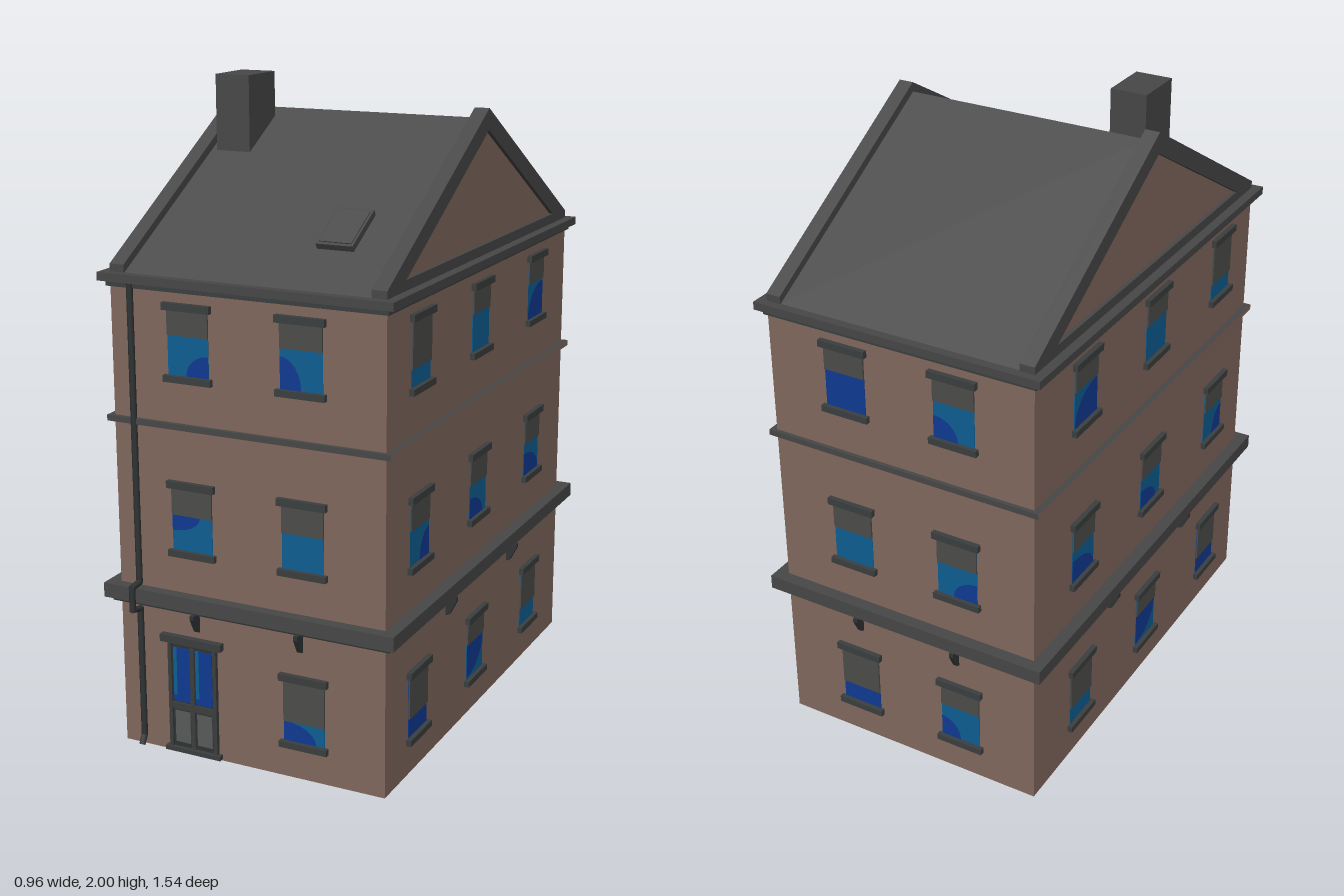
import * as THREE from 'three';

const mat = (name, color, side = THREE.FrontSide) => {
  const m = new THREE.MeshStandardMaterial({ color, side });
  m.name = name;
  return m;
};

export function createModel() {
  const brick = mat('brick', 0x82695f);
  const stone = mat('darkStone', 0x484848);
  const slate = mat('roofSlate', 0x4b4b4b);
  const trim = mat('windowTrim', 0x3c3f3f);
  const blindGrey = mat('blindGrey', 0x4d4d4b);
  const glassLight = mat('glassLight', 0x0e5f94);
  const glassDark = mat('glassDark', 0x103a94);
  const iron = mat('iron', 0x303434);
  const panelGrey = mat('doorPanel', 0x595b5b);

  const model = new THREE.Group();
  model.name = 'townHouse';
  const ZC = -0.01, HX = 0.44, HZ = 0.72;

  const add = (parent, name, geometry, material, x = 0, y = 0, z = 0) => {
    const m = new THREE.Mesh(geometry, material);
    m.name = name;
    m.position.set(x, y, z);
    parent.add(m);
    return m;
  };
  // Box given by its width, its bottom and top, and its depth
  const slab = (parent, name, material, x, y0, y1, z, w, d) =>
    add(parent, name, new THREE.BoxGeometry(w, y1 - y0, d), material, x, (y0 + y1) / 2, z);
  // Profile of [z, y] points extruded along x, centred on x
  const prism = (name, points, width, x, material, hole) => {
    const toPts = (a) => a.map(([z, y]) => new THREE.Vector2(z, y));
    const shape = new THREE.Shape(toPts(points));
    if (hole) shape.holes.push(new THREE.Path(toPts(hole)));
    const g = new THREE.ExtrudeGeometry(shape, { depth: width, bevelEnabled: false });
    g.translate(0, 0, -width / 2).rotateY(-Math.PI / 2);
    return add(model, name, g, material, x, 0, ZC);
  };

  // Walls and the horizontal mouldings
  slab(model, 'walls', brick, 0, 0, 1.45, ZC, HX * 2, HZ * 2);
  slab(model, 'shopLedge', stone, 0, 0.478, 0.523, -0.012, 0.96, 1.515);
  slab(model, 'shopLedgeMoulding', iron, 0, 0.465, 0.478, ZC, 0.92, 1.475);
  slab(model, 'middleBand', [brick, brick, stone, stone, stone, stone], 0, 1.03, 1.048, ZC, 0.92, 1.466);
  slab(model, 'corniceMoulding', trim, 0, 1.436, 1.452, ZC, 0.9, 1.46);
  slab(model, 'cornice', stone, 0, 1.452, 1.477, ZC, 0.94, 1.49);

  // Roof with a raised frame and a brick panel at each gable
  prism('roof', [[-HZ, 1.475], [HZ, 1.475], [0, 1.885]], 0.8, 0, slate);
  for (const s of [1, -1]) {
    prism('gableFrame', [[-HZ, 1.475], [HZ, 1.475], [HZ, 1.5], [0, 1.915], [-HZ, 1.5]], 0.047, s * 0.4165, stone,
      [[-0.595, 1.508], [0, 1.85], [0.595, 1.508]]);
    prism('gablePanel', [[-0.61, 1.5], [0.61, 1.5], [0, 1.855]], 0.03, s * 0.413, brick);
  }
  slab(model, 'chimney', stone, -0.3175, 1.72, 2, 0.1125, 0.115, 0.165);

  // Skylight lying on the front slope
  const skylight = new THREE.Group();
  skylight.name = 'skylight';
  skylight.position.set(0.207, 1.608, 0.482);
  skylight.rotation.x = Math.atan(0.41 / 0.72);
  model.add(skylight);
  slab(skylight, 'skylightFrame', stone, 0, -0.01, 0.016, 0, 0.115, 0.165);
  slab(skylight, 'skylightPane', slate, 0, 0.016, 0.019, 0, 0.1, 0.145);

  // Window: u across the facade, y of the sill, blind drop and glass pattern
  // Pattern: 0 light, 1 dark, otherwise a dark patch in one corner: [sideX, sideY, width, height]
  const W = 0.134, H = 0.2;
  function addWindow(facade, u, y, drop, pattern) {
    const g = new THREE.Group();
    g.name = 'window';
    g.position.set(u, y, 0);
    facade.add(g);
    slab(g, 'lintel', trim, 0, 0.21, 0.232, 0.006, 0.157, 0.02);
    slab(g, 'sill', trim, 0, -0.002, 0.018, 0.006, 0.157, 0.02);
    slab(g, 'blind', blindGrey, 0, H + 0.012 - drop, H + 0.012, 0.002, W, 0.008);
    slab(g, 'glass', pattern === 1 ? glassDark : glassLight, 0, 0.016, H + 0.012, 0, W, 0.004);
    if (Array.isArray(pattern)) {
      const [sx, sy, w, h] = pattern;
      const top = H + 0.012 - drop;
      const x0 = sx * W / 2, y0 = sy > 0 ? top : 0.018;
      const patch = new THREE.Shape();
      patch.moveTo(x0, y0);
      for (let i = 0; i <= 6; i++) {
        const a = i / 6 * Math.PI / 2;
        patch.lineTo(x0 - sx * w * W * Math.cos(a), y0 - sy * h * (top - 0.018) * Math.sin(a));
      }
      add(g, 'glassReflection', new THREE.ShapeGeometry(patch), glassDark, 0, 0, 0.003);
    }
    return g;
  }

  // Tapered bracket below the ledge
  const bracketShape = new THREE.Shape([[0, 0.405], [0.012, 0.41], [0.035, 0.455], [0.035, 0.468], [0, 0.468]]
    .map(([a, b]) => new THREE.Vector2(a, b)));
  const bracketGeo = new THREE.ExtrudeGeometry(bracketShape, { depth: 0.014, bevelEnabled: false });
  bracketGeo.translate(0, 0, -0.007).rotateY(-Math.PI / 2);

  // One facade: windows by floor as [blind drop, pattern], top floor first
  const floorY = [1.174, 0.64, 0.1];
  function addFacade(name, x, z, turn, us, brackets, floors) {
    const f = new THREE.Group();
    f.name = name;
    f.position.set(x, 0, z);
    f.rotation.y = turn;
    model.add(f);
    floors.forEach((row, r) => row.forEach((w, i) => {
      if (w) addWindow(f, us[i], floorY[r], w[0], w[1]);
    }));
    for (const u of brackets) add(f, 'bracket', bracketGeo, iron, u);
    return f;
  }
  const A = 0.076, B = 0.14;
  const front = addFacade('frontFacade', 0, ZC + HZ, 0, [-0.184, 0.18], [-0.175, 0.17], [
    [[A, [1, -1, 0.55, 0.55]], [A, [-1, -1, 0.5, 0.8]]],
    [[0.085, [-1, 1, 0.7, 0.45]], [0.085, 0]],
    [null, [0.132, [-1, -1, 0.8, 1]]],
  ]);
  addFacade('backFacade', 0, ZC - HZ, Math.PI, [-0.18, 0.184], [-0.17, 0.175], [
    [[A, 1], [A, [-1, -1, 0.6, 0.6]]],
    [[0.085, 0], [0.085, [1, -1, 0.6, 0.6]]],
    [[0.132, 1], [A, [-1, -1, 0.5, 0.6]]],
  ]);
  const sideRows = [
    [[B, 0], [A, 0], [A, [1, -1, 1, 0.95]]],
    [[0.085, [1, -1, 0.5, 0.8]], [0.085, [-1, -1, 0.8, 0.6]], [0.085, [-1, -1, 1, 0.7]]],
    [[0.132, 1], [A, [-1, 1, 1, 0.95]], [0.132, 0]],
  ];
  addFacade('rightFacade', HX, ZC, Math.PI / 2, [-0.492, -0.04, 0.438], [-0.275, 0.24], sideRows);
  addFacade('leftFacade', -HX, ZC, -Math.PI / 2, [-0.428, 0.025, 0.497], [-0.24, 0.275],
    sideRows.map((r) => [...r].reverse()));

  // Double door
  const door = new THREE.Group();
  door.name = 'door';
  door.position.set(-0.193, 0, 0);
  front.add(door);
  slab(door, 'doorLintel', trim, 0, 0.362, 0.385, 0.008, 0.208, 0.026);
  slab(door, 'doorStep', trim, 0, 0.006, 0.02, 0.008, 0.19, 0.022);
  slab(door, 'doorLeaf', iron, 0, 0.01, 0.364, 0.001, 0.165, 0.01);
  slab(door, 'doorRail', trim, 0, 0.145, 0.166, 0.006, 0.15, 0.012);
  slab(door, 'doorCentrePost', trim, 0, 0.02, 0.35, 0.006, 0.014, 0.012);
  for (const s of [1, -1]) {
    slab(door, 'doorPost', trim, s * 0.077, 0.01, 0.364, 0.005, 0.012, 0.016);
    slab(door, 'doorPane', glassDark, s * 0.038, 0.17, 0.345, 0.005, 0.058, 0.006);
    slab(door, 'doorPaneGlint', glassLight, s * 0.038 - 0.022, 0.19, 0.345, 0.006, 0.012, 0.006);
    slab(door, 'doorPanel', panelGrey, s * 0.038, 0.035, 0.138, 0.005, 0.052, 0.006);
  }

  // Drainpipe stepping out around the ledge
  const pipe = new THREE.CurvePath();
  const stops = [[1.47, 0.72], [0.535, 0.72], [0.53, 0.762], [0.46, 0.762], [0.45, 0.72], [0.035, 0.72], [0.01, 0.734]]
    .map(([y, z]) => new THREE.Vector3(-0.369, y, z));
  for (let i = 1; i < stops.length; i++) {
    const from = stops[i - 1], to = stops[i];
    const len = from.distanceTo(to);
    const seg = add(model, 'drainpipe', new THREE.CylinderGeometry(0.01, 0.01, len + 0.008, 8), iron);
    seg.position.copy(from).lerp(to, 0.5);
    seg.quaternion.setFromUnitVectors(new THREE.Vector3(0, 1, 0), to.clone().sub(from).normalize());
  }
  return model;
}
